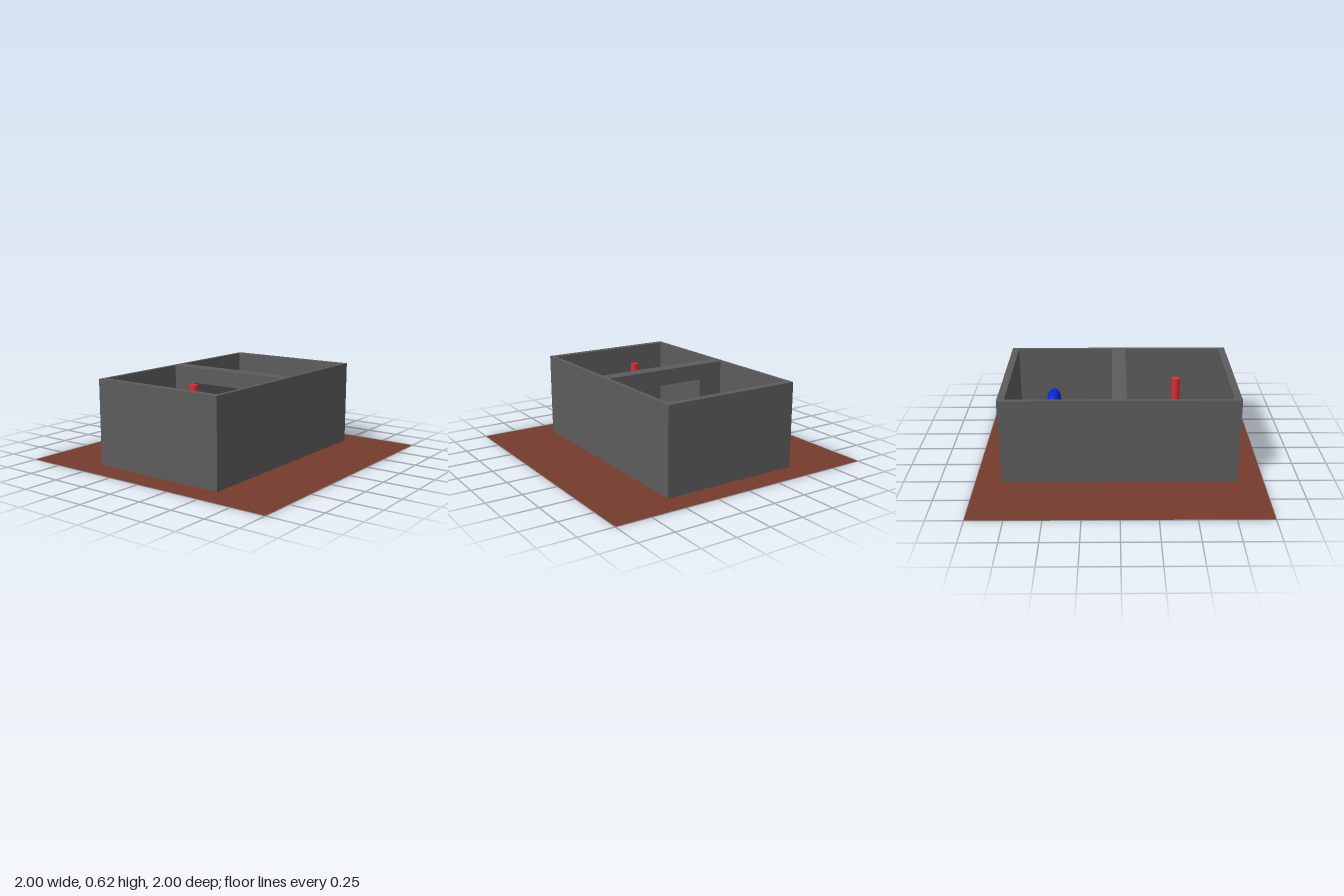
import * as THREE from 'three';

const mat = (name, color, extra = {}) => {
  const m = new THREE.MeshStandardMaterial({ color, ...extra });
  m.name = name;
  return m;
};

export function createModel() {
  const model = new THREE.Group();
  model.name = 'twoRoomBuilding';
  const earth = mat('redBrownEarth', 0x743b2c, { side: THREE.DoubleSide });
  const stone = mat('greyWall', 0x5c5c5c);
  const red = mat('red', 0xdc2a30);
  const blue = mat('blue', 0x0a22dc);
  const green = mat('green', 0x2ad22a);

  const add = (parent, name, geometry, material, x = 0, y = 0, z = 0) => {
    const mesh = new THREE.Mesh(geometry, material);
    mesh.name = name;
    mesh.position.set(x, y, z);
    parent.add(mesh);
    return mesh;
  };

  // Ground sheet, a hair above the wall footprints
  add(model, 'ground', new THREE.PlaneGeometry(2, 2).rotateX(-Math.PI / 2), earth, 0, 0.001, 0);

  // Outer walls: one rectangular ring, extruded upwards
  const H = 0.615;
  const rect = (Type, w, d) => new Type([[-w, -d], [w, -d], [w, d], [-w, d]].map(p => new THREE.Vector2(...p)));
  const plan = rect(THREE.Shape, 0.51, 0.82);
  plan.holes.push(rect(THREE.Path, 0.48, 0.77));
  add(model, 'outerWalls',
    new THREE.ExtrudeGeometry(plan, { depth: H, bevelEnabled: false }).rotateX(-Math.PI / 2), stone);

  // Dividing wall with a wide doorway
  const divider = new THREE.Shape([
    [-0.48, 0], [-0.29, 0], [-0.29, 0.5], [0.29, 0.5], [0.29, 0], [0.48, 0], [0.48, H], [-0.48, H],
  ].map(p => new THREE.Vector2(...p)));
  add(model, 'dividingWall',
    new THREE.ExtrudeGeometry(divider, { depth: 0.1, bevelEnabled: false }), stone, 0, 0, -0.05);

  // Post in the front room
  add(model, 'post', new THREE.CylinderGeometry(0.03, 0.03, 0.57, 32), red, -0.005, 0.285, 0.41);

  // Upright ring in the back room
  add(model, 'ring', new THREE.TorusGeometry(0.172, 0.043, 16, 48), blue, -0.015, 0.262, -0.475);

  // Monkey head floating inside the ring, facing the front
  const head = new THREE.Group();
  head.name = 'monkeyHead';
  head.position.set(-0.015, 0.262, -0.475);
  model.add(head);
  const ball = (name, x, y, z, sx, sy, sz) =>
    add(head, name, new THREE.SphereGeometry(1, 20, 14).scale(sx, sy, sz), green, x, y, z);
  ball('cranium', 0, 0.025, -0.015, 0.08, 0.073, 0.07);
  ball('muzzle', 0, -0.045, 0.03, 0.042, 0.053, 0.045);
  ball('nose', 0, -0.018, 0.068, 0.014, 0.014, 0.012);
  for (const s of [-1, 1]) {
    ball('brow', s * 0.036, 0.03, 0.04, 0.042, 0.035, 0.035);
    ball('eye', s * 0.034, 0.025, 0.06, 0.022, 0.023, 0.022);
    ball('cheek', s * 0.035, -0.015, 0.012, 0.035, 0.035, 0.045);
    const ear = ball('ear', s * 0.104, 0.012, -0.032, 0.034, 0.04, 0.01);
    ear.rotation.set(0, s * 0.4, s * 0.2);
  }
  return model;
}
